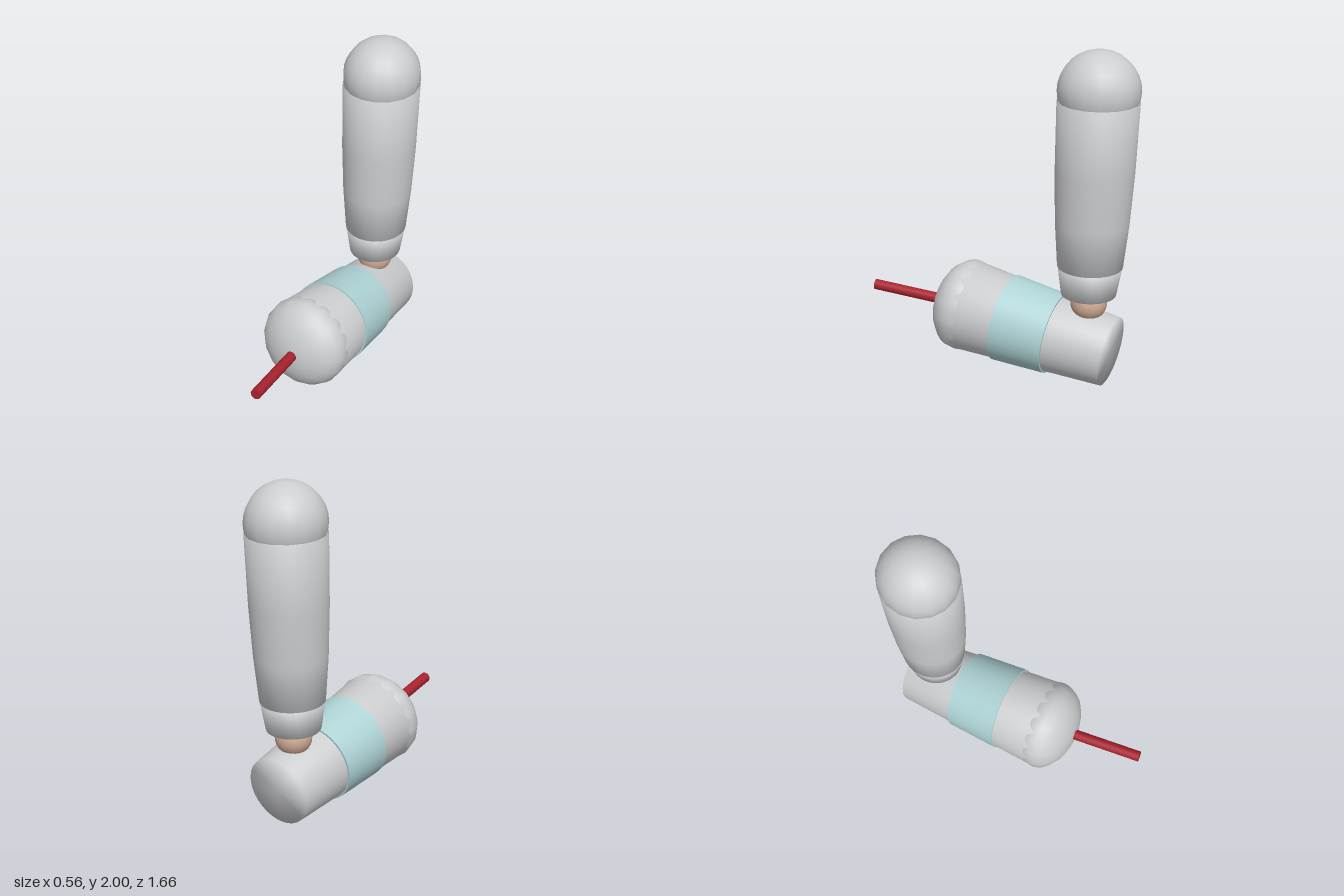
import * as THREE from 'three';
import { mergeVertices } from 'three/addons/utils/BufferGeometryUtils.js';

const paint = (name, color) => {
  const m = new THREE.MeshStandardMaterial({ color });
  m.name = name;
  return m;
};

// Closed turned solid, shaded smoothly even across its flat ends
function turned(profile, segments = 32, reshape = null) {
  let g = new THREE.LatheGeometry(profile.map(([r, y]) => new THREE.Vector2(r, y)), segments);
  g.deleteAttribute('uv');
  g.deleteAttribute('normal');
  if (reshape) {
    const p = g.attributes.position;
    for (let i = 0; i < p.count; i++) {
      const [x, y, z] = reshape(p.getX(i), p.getY(i), p.getZ(i));
      p.setXYZ(i, x, y, z);
    }
  }
  g = mergeVertices(g, 1e-4);
  g.computeVertexNormals();
  return g;
}

export function createModel() {
  const grey = paint('light grey', 0xcccdcf);
  const teal = paint('pale teal', 0xaed3d5);
  const skin = paint('skin', 0xd0aa94);
  const red = paint('red', 0xa8222e);

  const model = new THREE.Group();
  model.name = 'jointedLimb';
  const add = (parent, name, geometry, material) => {
    const mesh = new THREE.Mesh(geometry, material);
    mesh.name = name;
    parent.add(mesh);
    return mesh;
  };

  // Upright segment: leans back a little and is slightly deeper than wide
  const lean = (x, y, z) => [x, y, z * 1.03 - 0.5625 - 0.028 * (y - 0.73)];
  add(model, 'upperLimb', turned(
    [[0, 0.73], [0.185, 0.73], [0.207, 1.0], [0.22, 1.3], [0.226, 1.71], [0, 1.711]], 32, lean), grey);
  add(model, 'cuff', turned(
    [[0, 0.555], [0.156, 0.555], [0.183, 0.735], [0, 0.736]], 32, lean), grey);

  const topBall = add(model, 'topBall', new THREE.SphereGeometry(1, 16, 16), grey);
  topBall.scale.set(0.227, 0.23, 0.235);
  topBall.position.set(0, 1.77, -0.592);

  const joint = add(model, 'jointBall', new THREE.SphereGeometry(0.107, 24, 16), skin);
  joint.position.set(0, 0.53, -0.56);
  joint.position.y = 0.5;

  // Lower segment: built along y, then tipped forward
  const lower = new THREE.Group();
  lower.name = 'lowerLimb';
  lower.position.set(0, 0.21, -0.7025);
  lower.rotation.x = Math.PI / 2 - 0.136;
  model.add(lower);
  add(lower, 'lowerBody', turned([[0, 0], [0.207, 0], [0.275, 0.94], [0, 0.941]]), grey);
  add(lower, 'band', new THREE.CylinderGeometry(0.265, 0.244, 0.326, 32).translate(0, 0.511, 0), teal);
  const end = add(lower, 'frontDome', new THREE.SphereGeometry(0.28, 16, 16), grey);
  end.scale.y = 0.65;
  end.position.y = 0.937;

  // Rod sticking out of the dome
  const from = new THREE.Vector3(0.005, 0.341, 0.3);
  const to = new THREE.Vector3(0.057, 0.385, 0.825);
  const rod = add(model, 'rod', new THREE.CylinderGeometry(0.032, 0.032, from.distanceTo(to), 16), red);
  rod.position.copy(from).lerp(to, 0.5);
  rod.quaternion.setFromUnitVectors(new THREE.Vector3(0, 1, 0), to.clone().sub(from).normalize());

  return model;
}
